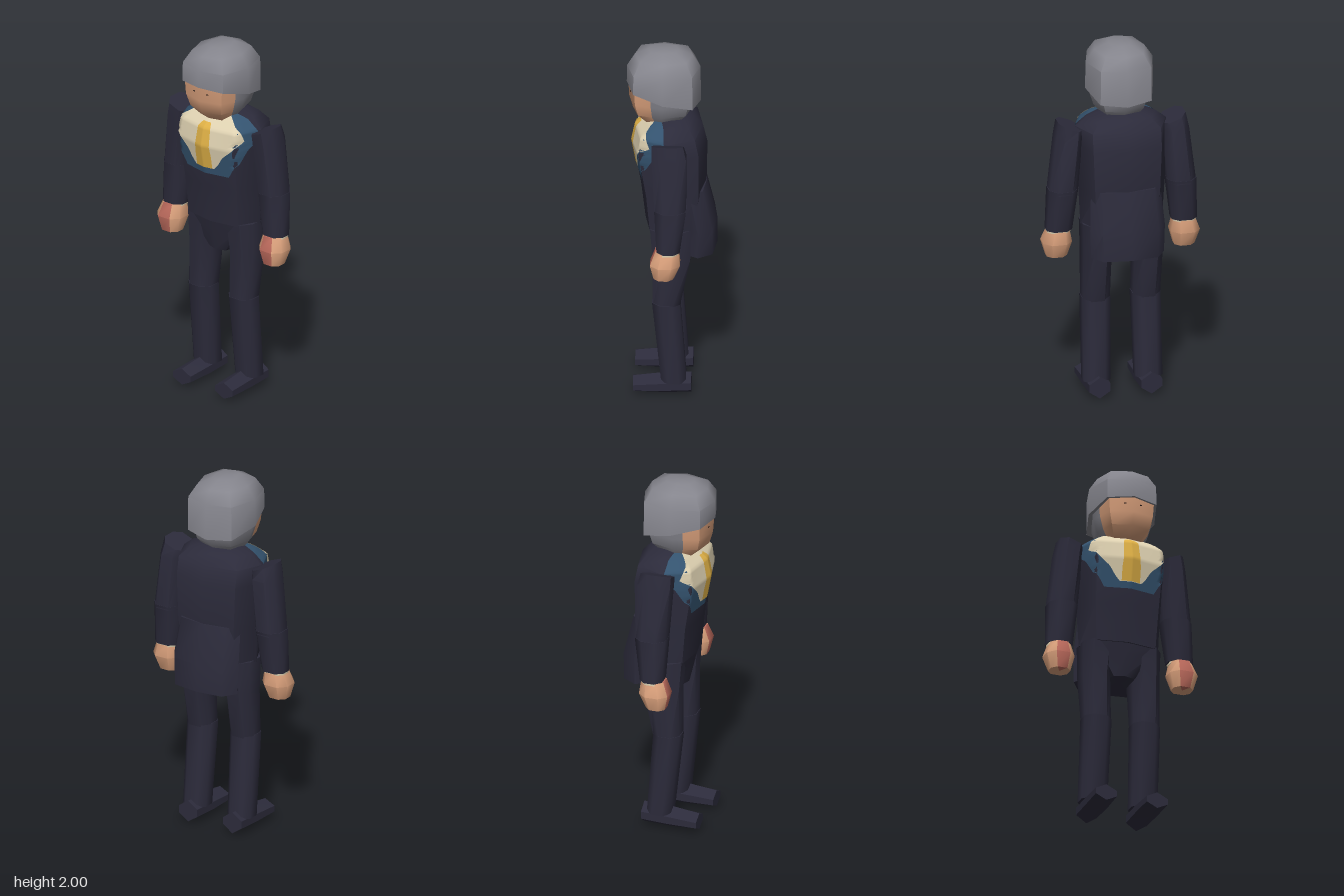
import * as THREE from 'three';
import { toCreasedNormals } from 'three/addons/utils/BufferGeometryUtils.js';

const mat = (name, color) => Object.assign(new THREE.MeshStandardMaterial({ color }), { name });

// Cross-sections as unit [x, z] points, running from the front towards +x
const ROUND = [[0, 1], [0.75, 0.8], [1, 0], [0.75, -0.8], [0, -1], [-0.75, -0.8], [-1, 0], [-0.75, 0.8]];
const HEAD = [[0, 1], [0.75, 0.8], [0.9, 0.32], [1, 0], [0.75, -0.8], [0, -1], [-0.75, -0.8], [-1, 0], [-0.9, 0.32], [-0.75, 0.8]];
const LIMB = [[-0.5, 1], [0.5, 1], [1, 0.45], [1, -0.45], [0.5, -1], [-0.5, -1], [-1, -0.45], [-1, 0.45]];
const SHOE = [[0, 1], [1, 0.35], [1, -0.35], [0, -1], [-1, -0.35], [-1, 0.35]];

// Torso rings: y, centre x, centre z, half width, half depth
const TORSO = [
  [0.99, 0, -0.005, 0.225, 0.145], [1.2, 0, -0.01, 0.237, 0.175], [1.45, 0, 0.01, 0.25, 0.2],
  [1.55, 0, 0.012, 0.25, 0.178], [1.6, 0, 0.005, 0.19, 0.125], [1.625, 0, 0.005, 0.11, 0.085],
];

// Closed skin over rings [y, cx, cz, rx, rz, tilt along z, tilt along x], lowest first
function loft(profile, rings, paint = () => 0) {
  const pos = [], geo = new THREE.BufferGeometry(), n = profile.length;
  const at = ([y, cx, cz, rx, rz, tz = 0, tx = 0], j) => {
    const [x, z] = profile[j % n];
    return [cx + x * rx, y + tz * z * rz + tx * x * rx, cz + z * rz];
  };
  const bottom = rings[0], top = rings[rings.length - 1];
  for (let j = 0; j < n; j++) {
    const start = pos.length / 3;
    for (let i = 0; i + 1 < rings.length; i++) {
      const a = at(rings[i], j), b = at(rings[i], j + 1), c = at(rings[i + 1], j + 1), d = at(rings[i + 1], j);
      pos.push(...a, ...b, ...c, ...a, ...c, ...d);
    }
    pos.push(bottom[1], bottom[0], bottom[2], ...at(bottom, j + 1), ...at(bottom, j));
    pos.push(top[1], top[0], top[2], ...at(top, j), ...at(top, j + 1));
    geo.addGroup(start, pos.length / 3 - start, paint(j));
  }
  geo.setAttribute('position', new THREE.Float32BufferAttribute(pos, 3));
  return toCreasedNormals(geo, 0.9);
}

// Linear interpolation in a table whose first column is y
function sample(table, y) {
  let i = 0;
  while (i < table.length - 2 && y > table[i + 1][0]) i++;
  const a = table[i], b = table[i + 1], t = (y - a[0]) / (b[0] - a[0]);
  return a.map((v, k) => v + (b[k] - v) * t);
}

// Thin cloth following the chest; outline is a list of [y, half width]
function chestPatch(outline, scale) {
  const cols = 20, rows = 28, y0 = outline[0][0], y1 = outline[outline.length - 1][0];
  const geo = new THREE.PlaneGeometry(1, 1, cols, rows), p = geo.attributes.position;
  for (let i = 0; i < p.count; i++) {
    const y = y0 + (p.getY(i) + 0.5) * (y1 - y0);
    const [, , cz, rx, rz] = sample(TORSO, y);
    const u = THREE.MathUtils.clamp(2 * p.getX(i) * sample(outline, y)[1] / rx, -0.99, 0.99), m = Math.abs(u);
    const depth = m < 0.75 ? 1 - 0.2 * m / 0.75 : 0.8 * (1 - m) / 0.25;
    p.setXYZ(i, u * rx * scale, y + (scale - 1) * 0.12, cz + depth * rz * scale);
  }
  geo.computeVertexNormals();
  return geo;
}

export function createModel() {
  const model = new THREE.Group();
  model.name = 'suitedFigure';
  const navy = mat('navy suit', 0x2c2b3b), skin = mat('skin', 0xdca27d), grey = mat('grey hair', 0x85858d);
  const blue = mat('blue lapel', 0x34536f), cream = mat('cream shirt', 0xddd0b0), gold = mat('gold tie', 0xdcae45);
  const red = mat('reddish fingers', 0xbd6b5d), dark = mat('dark eyes', 0x2a1c18);
  cream.side = blue.side = gold.side = THREE.DoubleSide;

  const add = (name, geo, material, parent = model) => {
    const mesh = new THREE.Mesh(geo, material);
    mesh.name = name;
    parent.add(mesh);
    return mesh;
  };
  const part = (name, profile, rings, material, parent) => add(name, loft(profile, rings), material, parent);

  // Jacket, coat tail and hips
  part('jacket', ROUND, TORSO, navy);
  part('coatTail', ROUND, [
    [0.845, 0, -0.145, 0.2, 0.097], [1.0, 0, -0.145, 0.205, 0.097], [1.22, 0, -0.1, 0.19, 0.088],
  ], navy);
  part('hips', ROUND, [
    [0.81, 0, 0, 0.075, 0.095], [0.94, 0, 0, 0.19, 0.122], [1.0, 0, 0, 0.218, 0.135],
  ], navy);

  // Layered chest: lapel, shirt, tie
  add('lapels', chestPatch([[1.285, 0.14], [1.33, 0.165], [1.37, 0.195], [1.45, 0.22], [1.5, 0.247], [1.55, 0.24], [1.6, 0.175], [1.622, 0.1]], 1.012), blue);
  add('shirt', chestPatch([[1.32, 0.06], [1.35, 0.085], [1.4, 0.115], [1.45, 0.17], [1.5, 0.21], [1.55, 0.2], [1.6, 0.13], [1.622, 0.09]], 1.026), cream);
  add('tie', chestPatch([[1.32, 0.05], [1.4, 0.05], [1.45, 0.045], [1.55, 0.04], [1.575, 0.025]], 1.04), gold);

  // Head: skin in front, grey behind
  const head = new THREE.Group();
  head.name = 'head';
  model.add(head);
  add('face', loft(HEAD, [
    [1.595, 0, 0.05, 0.1, 0.1], [1.65, 0, 0.05, 0.14, 0.158], [1.72, 0, 0.05, 0.163, 0.178], [1.86, 0, 0.05, 0.176, 0.185],
  ], (j) => (j < 2 || j > 7 ? 0 : 1)), [skin, grey], head);
  part('hair', ROUND, [
    [1.75, 0, 0.043, 0.187, 0.198, 0.27], [1.9, 0, 0.043, 0.184, 0.196],
    [1.968, 0, 0.043, 0.138, 0.155], [2.0, 0, 0.045, 0.06, 0.08],
  ], grey, head);

  for (const s of [1, -1]) {
    const side = s > 0 ? 'left' : 'right';
    const mirror = (rings) => rings.map(([y, cx, cz, rx, rz, tz = 0, tx = 0]) => [y, s * cx, cz, rx, rz, tz, s * tx]);

    // Eyes
    const eye = add(side + 'Eye', new THREE.BoxGeometry(0.012, 0.005, 0.004), dark, head);
    eye.position.set(s * 0.045, 1.766, 0.218);
    eye.rotation.y = s * 0.28;

    // Arm, cuff and hand
    const arm = new THREE.Group();
    arm.name = side + 'Arm';
    model.add(arm);
    part('upperArm', LIMB, mirror([
      [1.19, 0.325, -0.005, 0.077, 0.083], [1.5, 0.293, 0.003, 0.072, 0.092], [1.56, 0.283, 0.012, 0.065, 0.085, 0, 0.4],
    ]), navy, arm);
    part('forearm', LIMB, mirror([
      [0.97, 0.343, 0.005, 0.069, 0.062], [1.21, 0.324, -0.005, 0.079, 0.085],
    ]), navy, arm);
    part('cuff', LIMB, mirror([[0.958, 0.345, 0.008, 0.063, 0.058], [0.98, 0.344, 0.006, 0.063, 0.058]]), cream, arm);
    add('hand', loft(LIMB, mirror([
      [0.81, 0.35, 0.03, 0.055, 0.052], [0.895, 0.351, 0.022, 0.079, 0.08], [0.97, 0.345, 0.012, 0.058, 0.062],
    ]), (j) => (j === 0 ? 1 : 0)), [skin, red], arm);

    // Leg and shoe
    const leg = new THREE.Group();
    leg.name = side + 'Leg';
    model.add(leg);
    part('thigh', LIMB, mirror([
      [0.535, 0.138, 0.024, 0.074, 0.072], [0.82, 0.14, -0.005, 0.077, 0.1], [1.0, 0.132, 0, 0.088, 0.11],
    ]), navy, leg);
    part('shin', LIMB, mirror([
      [0.09, 0.143, -0.017, 0.073, 0.067], [0.56, 0.138, 0.025, 0.077, 0.074],
    ]), navy, leg);
    part('shoe', SHOE, mirror([
      [-0.11, 0.142, -0.07, 0.058, 0.06], [0.04, 0.142, -0.064, 0.062, 0.06], [0.2, 0.145, -0.058, 0.06, 0.046],
    ]), navy, leg).geometry.rotateX(Math.PI / 2);
  }
  return model;
}
